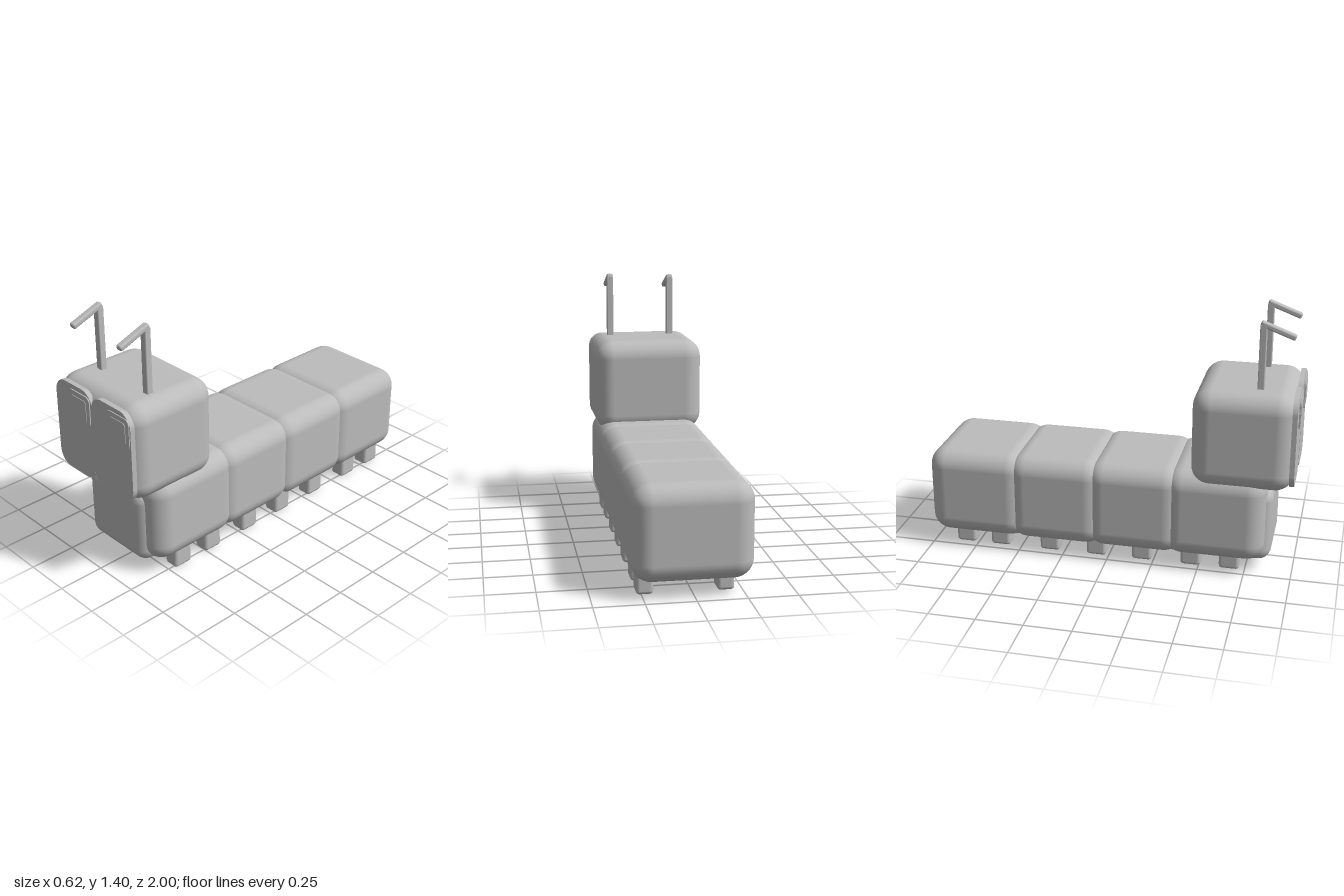
import * as THREE from 'three';
import { RoundedBoxGeometry } from 'three/addons/geometries/RoundedBoxGeometry.js';

export function createModel() {
  const model = new THREE.Group();
  model.name = 'blockCaterpillar';
  const grey = new THREE.MeshStandardMaterial({ color: 0xbcbcbc });
  grey.name = 'grey';

  const add = (name, geometry, parent = model) => {
    const mesh = new THREE.Mesh(geometry, grey);
    mesh.name = name;
    parent.add(mesh);
    return mesh;
  };

  // Rounded box given by its limits on each axis
  const block = (name, [x0, x1], [y0, y1], [z0, z1], radius, segments = 5) => {
    const mesh = add(name, new RoundedBoxGeometry(x1 - x0, y1 - y0, z1 - z0, segments, radius));
    mesh.position.set((x0 + x1) / 2, (y0 + y1) / 2, (z0 + z1) / 2);
    return mesh;
  };

  // Flat plate with rounded corners, facing the front
  const plate = (name, [x0, x1], [y0, y1], [z0, z1], r) => {
    const s = new THREE.Shape();
    s.absarc(x1 - r, y1 - r, r, 0, Math.PI / 2);
    s.absarc(x0 + r, y1 - r, r, Math.PI / 2, Math.PI);
    s.absarc(x0 + r, y0 + r, r, Math.PI, Math.PI * 1.5);
    s.absarc(x1 - r, y0 + r, r, Math.PI * 1.5, Math.PI * 2);
    const g = new THREE.ExtrudeGeometry(s, { depth: z1 - z0, bevelEnabled: false, curveSegments: 8 });
    g.translate(0, 0, z0);
    return add(name, g);
  };

  // Four overlapping body segments, front to back
  const spans = [[0.31, 0.855], [-0.115, 0.407], [-0.552, -0.023], [-1, -0.458]];
  spans.forEach((z, i) => block(`bodySegment${i + 1}`, [-0.295, 0.308], [0.08, 0.57], z, 0.1));

  // Long belly running under the segments and out at the chest
  block('belly', [-0.232, 0.222], [0.068, 0.487], [-0.78, 0.885], 0.07, 3);

  // Head and the two halves of the face
  block('head', [-0.31, 0.308], [0.503, 1.035], [0.45, 0.987], 0.1);
  plate('rightFace', [-0.287, 0.002], [0.528, 1.022], [0.965, 0.991], 0.08);
  plate('leftFace', [-0.002, 0.298], [0.528, 1.022], [0.965, 0.992], 0.08);

  // Eyes with pupils
  [['right', -0.097], ['left', 0.205]].forEach(([side, x]) => {
    plate(`${side}Eye`, [x - 0.086, x + 0.086], [0.827, 0.997], [0.99, 0.997], 0.03);
    plate(`${side}Pupil`, [x - 0.06, x + 0.06], [0.85, 0.97], [0.995, 1], 0.015);
  });

  // Two rows of short feet
  [0.665, 0.455, 0.185, -0.07, -0.335, -0.62, -0.82].forEach((z, i) => {
    [['right', -0.168], ['left', 0.233]].forEach(([side, x]) => {
      block(`${side}Foot${i + 1}`, [x - 0.043, x + 0.043], [0, 0.13], [z - 0.055, z + 0.055], 0.018, 2);
    });
  });

  // Antennae: an upright stem and a tip drooping forward
  [['right', -0.168, 0], ['left', 0.19, 0.008]].forEach(([side, x, lift]) => {
    block(`${side}AntennaStem`, [x - 0.019, x + 0.019], [0.98, 1.375 + lift], [0.773, 0.808], 0.005, 1);
    const tip = add(`${side}AntennaTip`, new RoundedBoxGeometry(0.037, 0.03, 0.19, 2, 0.01));
    tip.position.set(x, 1.348 + lift, 0.865);
    tip.rotation.x = 0.36;
  });

  return model;
}
